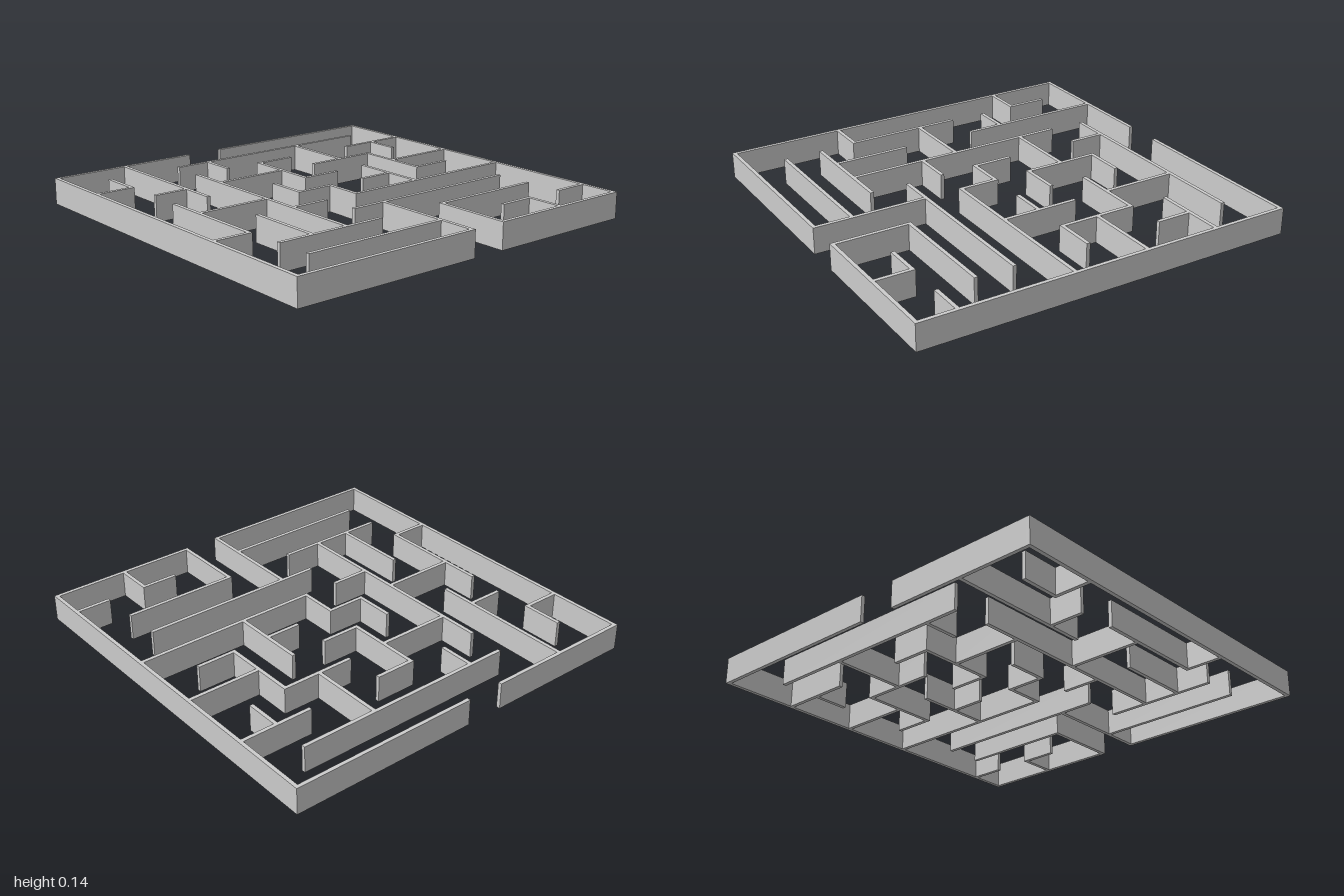
import * as THREE from 'three';

const CELL = 0.198, HALF = 0.01, HEIGHT = 0.137, N = 10;

// Walls running along x: for each grid row, [startColumn, endColumn] spans
const ROWS = [
  [[0, 4], [5, 10]],
  [[3, 9]],
  [[0, 1], [5, 6], [8, 10]],
  [[1, 2], [3, 5], [6, 8]],
  [[5, 6], [8, 10]],
  [[1, 3], [4, 5], [6, 7], [8, 9]],
  [[3, 4], [5, 10]],
  [[0, 1], [4, 9]],
  [[1, 4], [6, 9]],
  [[1, 5], [7, 8], [9, 10]],
  [[0, 5], [6, 10]],
];

// Walls running along z: for each grid column, [startRow, endRow] spans
const COLUMNS = [
  [[0, 10]],
  [[1, 2], [4, 7]],
  [[0, 4], [6, 8]],
  [[2, 8]],
  [[1, 2], [4, 5]],
  [[2, 4], [5, 6], [7, 10]],
  [[8, 10]],
  [[1, 3], [4, 6]],
  [[3, 5], [9, 10]],
  [[2, 3]],
  [[0, 10]],
];

const at = (i) => (i - N / 2) * CELL;

export function createModel() {
  const maze = new THREE.Group();
  maze.name = 'maze';
  const outer = new THREE.Group();
  outer.name = 'outerWalls';
  const inner = new THREE.Group();
  inner.name = 'innerWalls';
  maze.add(outer, inner);
  const material = new THREE.MeshStandardMaterial({ color: 0xcccccc, flatShading: true });

  // One upright slab covering x0..x1 and z0..z1
  const addWall = (line, x0, x1, z0, z1) => {
    const edge = line === 0 || line === N;
    const wall = new THREE.Mesh(new THREE.BoxGeometry(x1 - x0, HEIGHT, z1 - z0), material);
    wall.position.set((x0 + x1) / 2, HEIGHT / 2, (z0 + z1) / 2);
    wall.name = edge ? 'outerWall' : 'innerWall';
    (edge ? outer : inner).add(wall);
  };

  // Walls along x; they close the corner where they start on a cross wall
  ROWS.forEach((spans, r) => spans.forEach(([a, b]) => {
    const joined = COLUMNS[a].some(([s, e]) => s <= r && r <= e);
    addWall(r, at(a) + (joined ? -HALF : HALF), at(b) + HALF, at(r) - HALF, at(r) + HALF);
  }));

  // Walls along z; they stop at the face of the row they meet
  COLUMNS.forEach((spans, c) => spans.forEach(([a, b]) => {
    addWall(c, at(c) - HALF, at(c) + HALF, at(a) - HALF, at(b) - HALF);
  }));

  return maze;
}
